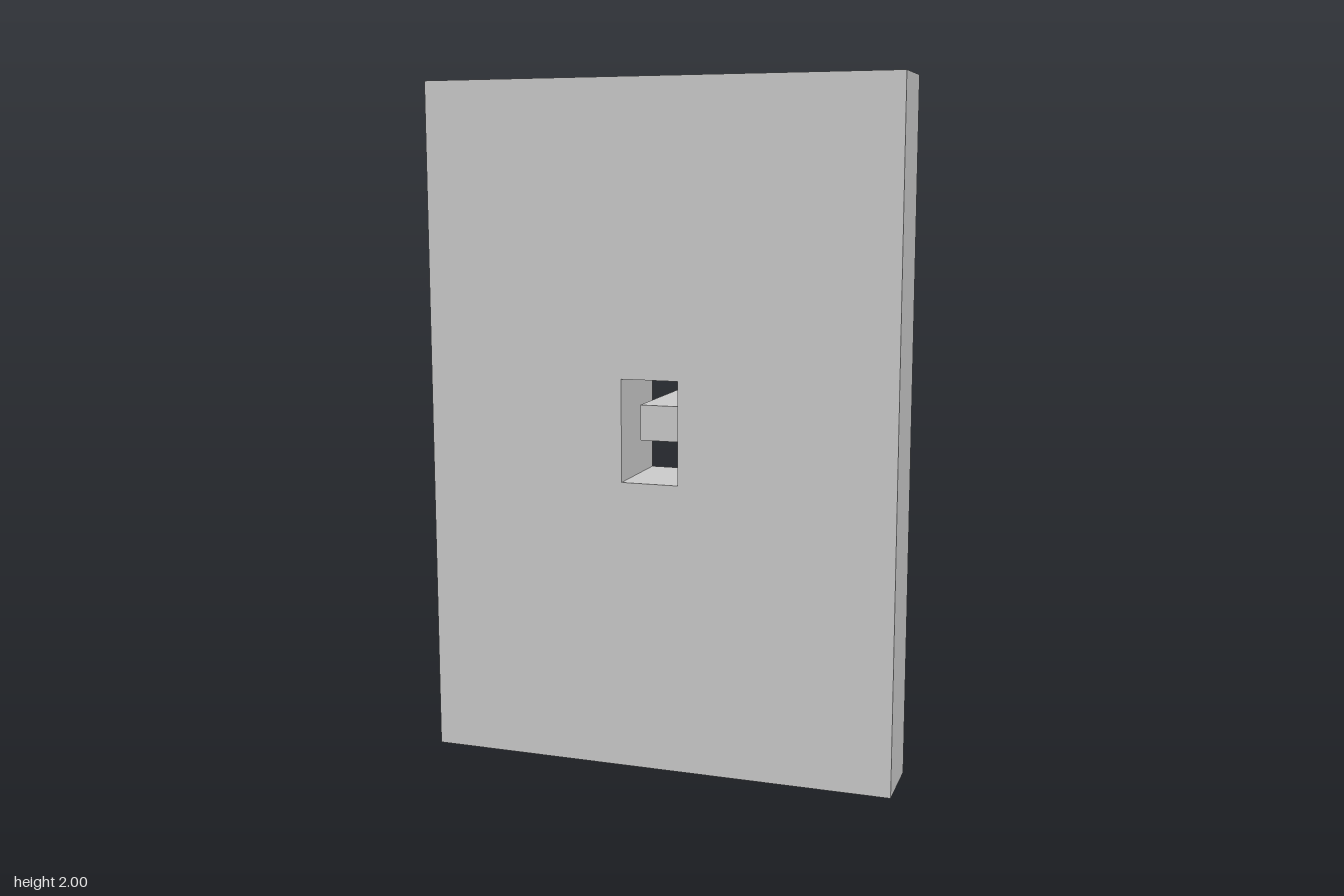
import * as THREE from 'three';

const grey = new THREE.MeshStandardMaterial({ color: 0xcccccc });
const FRONT = 0.26, BACK = 0.06, RAISED = -0.01;
const plate = { x0: -0.7, x1: 0.7, y0: 0, y1: 2 };
const slot = { x0: -0.1, x1: 0.07, y0: 0.855, y1: 1.155 };

function add(group, name, geometry) {
  const mesh = new THREE.Mesh(geometry, grey);
  mesh.name = name;
  group.add(mesh);
}

function block(r, z0, z1) {
  return new THREE.BoxGeometry(r.x1 - r.x0, r.y1 - r.y0, z1 - z0)
    .translate((r.x0 + r.x1) / 2, (r.y0 + r.y1) / 2, (z0 + z1) / 2);
}

// The four sides of a block, facing outward or inward
function sideWalls(r, z0, z1, inward) {
  const g = block(r, z0, z1);
  const index = Array.from(g.index.array).slice(0, 24);
  g.setIndex(inward ? index.reverse() : index);
  if (inward) g.computeVertexNormals();
  return g;
}

function rectanglePath(r, path) {
  path.moveTo(r.x0, r.y0);
  path.lineTo(r.x1, r.y0);
  path.lineTo(r.x1, r.y1);
  path.lineTo(r.x0, r.y1);
  path.closePath();
  return path;
}

// Back of the plate: a softly shaded grid whose middle rises to a bevelled pad
function backSurface() {
  const xs = [plate.x0, -0.33, -0.29, slot.x0, slot.x1, 0.215, 0.27, plate.x1];
  const ys = [plate.y0, 0.48, 0.51, slot.y0, slot.y1, 1.505, 1.54, plate.y1];
  const n = xs.length, position = [], index = [];
  const raised = (i) => i >= 2 && i <= 5;
  for (let j = 0; j < n; j++) {
    for (let i = 0; i < n; i++) {
      position.push(xs[i], ys[j], raised(i) && raised(j) ? RAISED : BACK);
    }
  }
  for (let j = 0; j < n - 1; j++) {
    for (let i = 0; i < n - 1; i++) {
      if (i === 3 && j === 3) continue; // the slot
      const a = j * n + i, b = a + 1, c = b + n, d = a + n;
      // Diagonals point at the centre, so the bevel corners are mitred
      if ((i < 3) === (j < 3)) index.push(a, c, b, a, d, c);
      else index.push(a, d, b, b, d, c);
    }
  }
  const g = new THREE.BufferGeometry();
  g.setAttribute('position', new THREE.Float32BufferAttribute(position, 3));
  g.setIndex(index);
  g.computeVertexNormals();
  return g;
}

export function createModel() {
  const model = new THREE.Group();
  model.name = 'switchPlate';

  // Cover plate with its slot
  const cover = new THREE.Group();
  cover.name = 'coverPlate';
  const face = rectanglePath(plate, new THREE.Shape());
  face.holes.push(rectanglePath(slot, new THREE.Path()));
  add(cover, 'frontFace', new THREE.ShapeGeometry(face).translate(0, 0, FRONT));
  add(cover, 'plateEdges', sideWalls(plate, BACK, FRONT, false));
  add(cover, 'backWithRaisedPad', backSurface());
  add(cover, 'slotWalls', sideWalls(slot, RAISED, FRONT, true));
  model.add(cover);

  // Lever standing in the slot
  add(model, 'lever', block({ x0: -0.085, x1: 0.055, y0: 0.96, y1: 1.065 }, -0.26, 0.14));
  return model;
}
